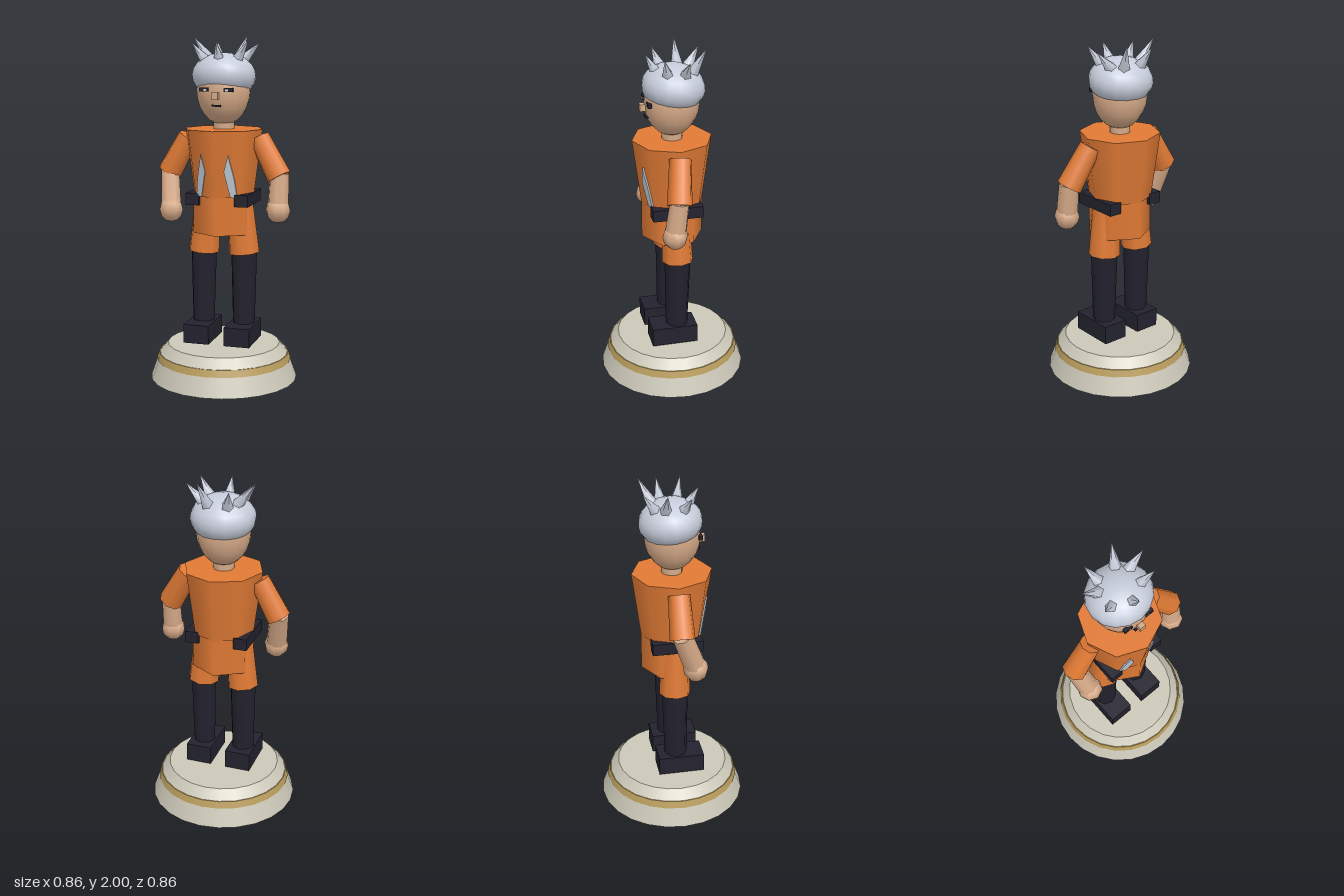
import * as THREE from 'three';

const mat = (name, color) => {
  const m = new THREE.MeshStandardMaterial({ color });
  m.name = name;
  return m;
};

export function createModel() {
  const root = new THREE.Group();
  root.name = 'figurine';
  const orange = mat('orange cloth', 0xe07a35);
  const dark = mat('dark leather', 0x23222e);
  const skin = mat('skin', 0xd6aa88);
  const silver = mat('silver hair', 0xc6ccda);
  const steel = mat('pale trim', 0xbcc6d0);
  const stone = mat('stone', 0xcbc7b8);
  const gold = mat('gold', 0xb89c5c);
  const white = mat('eye white', 0xe8e8ea);

  const add = (name, geo, material, x = 0, y = 0, z = 0) => {
    const m = new THREE.Mesh(geo, material);
    m.name = name;
    m.position.set(x, y, z);
    root.add(m);
    return m;
  };
  const drum = (name, material, y0, y1, r0, r1, sides) =>
    add(name, new THREE.CylinderGeometry(r1, r0, y1 - y0, sides), material, 0, (y0 + y1) / 2, 0);
  const box = (name, material, w, h, d, x, y, z) =>
    add(name, new THREE.BoxGeometry(w, h, d), material, x, y, z);
  const ball = (name, material, rx, ry, rz, x, y, z, ws = 16, hs = 12) =>
    add(name, new THREE.SphereGeometry(1, ws, hs).scale(rx, ry, rz), material, x, y, z);

  // Tapered cylinder from point a to point b
  const up = new THREE.Vector3(0, 1, 0);
  const limb = (name, material, a, b, ra, rb, sides) => {
    const A = new THREE.Vector3(...a), B = new THREE.Vector3(...b);
    const dir = B.clone().sub(A);
    const m = add(name, new THREE.CylinderGeometry(rb, ra, dir.length(), sides), material);
    m.position.copy(A).lerp(B, 0.5);
    m.quaternion.setFromUnitVectors(up, dir.normalize());
    return m;
  };

  // Pedestal
  drum('pedestalBody', stone, 0, 0.15, 0.432, 0.378, 24);
  drum('pedestalBevel', stone, 0.15, 0.205, 0.378, 0.33, 24);
  drum('pedestalBand', gold, 0.11, 0.15, 0.396, 0.383, 24);

  // Torso, skirt and neck
  drum('torso', orange, 1.09, 1.47, 0.18, 0.23, 8);
  drum('skirt', orange, 0.87, 1.09, 0.18, 0.18, 6);
  drum('neck', skin, 1.45, 1.54, 0.06, 0.06, 10);

  for (const s of [-1, 1]) {
    // Legs, boots and belt pouches
    limb('shortsLeg', orange, [s * 0.122, 0.75, -0.005], [s * 0.1, 1.03, 0], 0.092, 0.078, 8);
    limb('boot', dark, [s * 0.123, 0.33, 0], [s * 0.122, 0.78, -0.005], 0.066, 0.078, 8);
    box('shoe', dark, 0.152, 0.11, 0.27, s * 0.122, 0.28, 0.025);
    box('beltPouch', dark, 0.078, 0.068, 0.29, s * 0.145, 1.074, 0.004);

    // Pointed chest trim following the slope of the torso
    const p = [[0.08, 1.335], [0.055, 1.24], [0.085, 1.093], [0.12, 1.093], [0.108, 1.2]];
    const shape = new THREE.Shape(p.map(([x, y]) => new THREE.Vector2(s * x, y)));
    const trim = new THREE.ExtrudeGeometry(shape, { depth: 0.009, bevelEnabled: false });
    const pos = trim.attributes.position;
    for (let i = 0; i < pos.count; i++) {
      const r = 0.18 + (pos.getY(i) - 1.09) * 0.1316;
      pos.setZ(i, pos.getZ(i) + r - 0.414 * Math.abs(pos.getX(i)) + 0.001);
    }
    trim.computeVertexNormals();
    add('chestTrim', trim, steel);

    // Eyes
    box('eye', dark, 0.052, 0.022, 0.022, s * 0.071, 1.697, 0.144);
    box('eyeGlint', white, 0.015, 0.01, 0.004, s * 0.063, 1.695, 0.156);
  }

  // Arms, each with its own pose
  const arms = [
    { s: 1, elbow: [0.338, 1.204, 0.035], hand: [0.338, 1.02, 0.06] },
    { s: -1, elbow: [-0.33, 1.21, -0.002], hand: [-0.295, 1.0, 0.082] },
  ];
  for (const { s, elbow, hand } of arms) {
    limb('sleeve', orange, elbow, [s * 0.21, 1.422, 0.002], 0.072, 0.062, 8);
    limb('forearm', skin, hand, [elbow[0], elbow[1] + 0.02, elbow[2]], 0.062, 0.056, 8);
    ball('hand', skin, 0.072, 0.074, 0.072, ...hand, 8, 6);
  }

  // Head and face
  ball('head', skin, 0.155, 0.2, 0.157, 0, 1.69, 0.002);
  box('nose', skin, 0.036, 0.04, 0.04, 0, 1.663, 0.164);
  box('mouth', dark, 0.052, 0.01, 0.02, 0, 1.608, 0.145);

  // Hair cap and spikes: base x, base z, tip x, tip y, tip z
  ball('hairCap', silver, 0.185, 0.13, 0.178, 0, 1.77, -0.008).rotation.x = -0.12;
  const spikes = [
    [-0.09, -0.05, -0.2, 1.99, -0.057],
    [0.1, -0.05, 0.2, 1.957, -0.052],
    [-0.055, -0.1, -0.088, 1.965, -0.172],
    [0.055, -0.1, 0.092, 2.0, -0.172],
    [-0.09, 0.045, -0.164, 1.955, 0.08],
    [0.09, 0.042, 0.166, 1.97, 0.077],
    [0, 0.085, 0, 1.962, 0.15],
  ];
  for (const [bx, bz, tx, ty, tz] of spikes) {
    limb('hairSpike', silver, [bx, 1.855, bz], [tx, ty, tz], 0.036, 0, 5);
  }

  return root;
}
